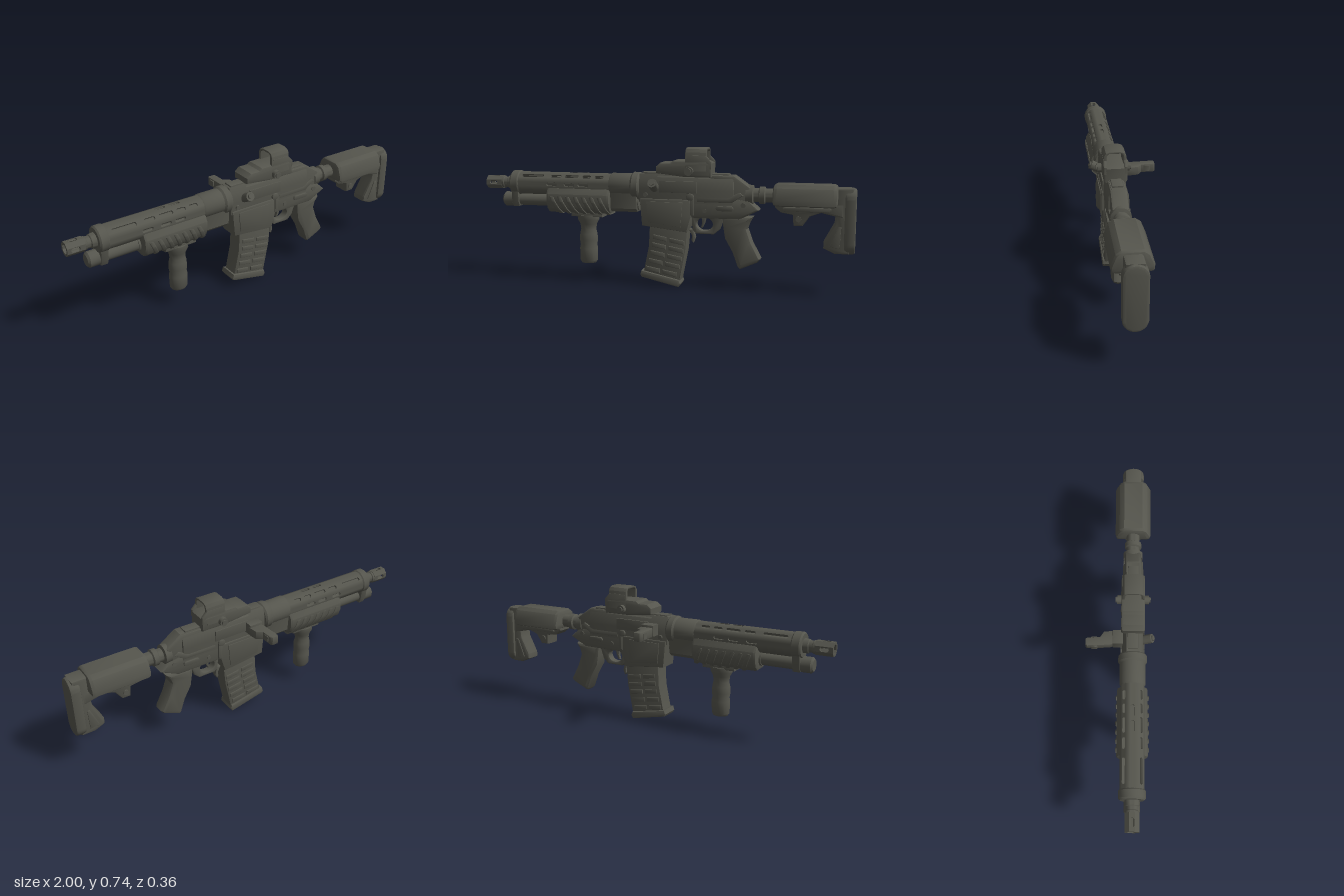
import * as THREE from 'three';
import { mergeGeometries, toCreasedNormals } from 'three/addons/utils/BufferGeometryUtils.js';

export function createModel() {
  const model = new THREE.Group();
  model.name = 'rifle';
  const body = new THREE.Group();
  body.name = 'rifleBody';
  body.position.z = 0.07;
  model.add(body);
  const gunmetal = new THREE.MeshStandardMaterial({ color: 0x55554d });
  gunmetal.name = 'gunmetal';

  const add = (name, geo) => {
    const m = new THREE.Mesh(toCreasedNormals(geo, 0.6), gunmetal);
    m.name = name;
    body.add(m);
    return m;
  };
  const poly = (pts) => new THREE.Shape(pts.map(([x, y]) => new THREE.Vector2(x, y)));
  const extrude = (shape, depth, bevel) => new THREE.ExtrudeGeometry(shape, {
    depth: depth - 2 * bevel, bevelEnabled: bevel > 0, bevelSize: bevel, bevelThickness: bevel,
    bevelOffset: -bevel, bevelSegments: 2, curveSegments: 10,
  }).translate(0, 0, bevel - depth / 2);
  // side outline (x, y) extruded across z
  const side = (name, pts, half, bevel = 0.01, z = 0) =>
    add(name, extrude(Array.isArray(pts) ? poly(pts) : pts, half * 2, bevel).translate(0, 0, z));
  // cross-section (z, y) extruded along x
  const alongGeo = (shape, x0, x1, bevel = 0.01) =>
    extrude(shape, x1 - x0, bevel).rotateY(Math.PI / 2).translate((x0 + x1) / 2, 0, 0);
  // right half of a symmetric section, mirrored
  const mirror = (half) => poly([...half, ...half.map(([z, y]) => [-z, y]).reverse()]);
  // turned part along x from [x, radius] points
  const turned = (name, pts, y) => add(name, new THREE.LatheGeometry(
    pts.map(([x, r]) => new THREE.Vector2(r, x)), 24).rotateZ(-Math.PI / 2).translate(0, y, 0));
  const box = (name, x0, x1, y0, y1, half, z = 0) =>
    side(name, [[x0, y0], [x1, y0], [x1, y1], [x0, y1]], half, Math.min(0.005, half * 0.4), z);
  const pin = (name, x, y, r, half) => add(name,
    new THREE.CylinderGeometry(r, r, half * 2, 16).rotateX(Math.PI / 2).translate(x, y, 0));
  // rounded slot of height h between x0 and x1
  const slot = (x0, x1, h, y = 0, P = THREE.Path) => {
    const r = h / 2, p = new P();
    p.moveTo(x0 + r, y - r);
    p.lineTo(x1 - r, y - r);
    p.absarc(x1 - r, y, r, -Math.PI / 2, Math.PI / 2, false);
    p.lineTo(x0 + r, y + r);
    p.absarc(x0 + r, y, r, Math.PI / 2, Math.PI * 1.5, false);
    return p;
  };
  // hollow faceted tube whose flats can carry slots
  const facetTube = (name, n, r, wall, x0, x1, y, slotsAt) => {
    const t = r * Math.tan(Math.PI / n), parts = [];
    for (let k = 0; k < n; k++) {
      const s = poly([[x0, -t], [x1, -t], [x1, t], [x0, t]]);
      (slotsAt[k] || []).forEach(([a, b]) => s.holes.push(slot(a, b, t * 1.6)));
      parts.push(extrude(s, wall, 0).translate(0, 0, r - wall / 2).rotateX(-k * 2 * Math.PI / n));
    }
    add(name, mergeGeometries(parts).translate(0, y, 0));
  };

  // Barrel, muzzle and slotted handguard
  turned('barrel', [[-0.92, 0], [-0.92, 0.03], [-0.12, 0.03], [-0.12, 0]], 0.53);
  const vent = [[-0.98, -0.935]];
  facetTube('muzzleBrake', 8, 0.035, 0.012, -1, -0.91, 0.53, { 0: vent, 2: vent, 4: vent });
  turned('muzzleCollar', [[-0.925, 0], [-0.925, 0.034], [-0.9, 0.034], [-0.895, 0.028], [-0.88, 0.028],
    [-0.875, 0.035], [-0.84, 0.038], [-0.84, 0]], 0.53);
  const upperRow = [[-0.78, -0.65], [-0.61, -0.55], [-0.53, -0.45], [-0.43, -0.38], [-0.36, -0.31]];
  const sideRow = [[-0.63, -0.57], [-0.53, -0.47], [-0.45, -0.39]];
  facetTube('handguard', 16, 0.061, 0.01, -0.84, -0.13, 0.53,
    { 0: sideRow, 2: upperRow, 4: sideRow.slice(1), 6: upperRow, 8: sideRow });
  turned('handguardFrontRing', [[-0.85, 0.025], [-0.85, 0.06], [-0.842, 0.067], [-0.805, 0.067], [-0.798, 0.061]], 0.53);
  turned('handguardRearCollar', [[-0.28, 0.06], [-0.27, 0.066], [-0.16, 0.066], [-0.15, 0.074],
    [-0.12, 0.074], [-0.11, 0.066], [-0.11, 0]], 0.53);

  // Lower tube with cap and bracket
  turned('lowerTube', [[-0.905, 0], [-0.905, 0.03], [-0.895, 0.04], [-0.845, 0.04], [-0.835, 0.033],
    [-0.64, 0.033], [-0.64, 0.038], [-0.12, 0.038], [-0.12, 0]], 0.437);
  add('tubeBracket', alongGeo(mirror([[0.03, 0.4], [0.044, 0.43], [0.05, 0.5]]), -0.845, -0.805, 0.005));
  add('rearTubeBlock', alongGeo(mirror([[0.03, 0.392], [0.048, 0.41], [0.055, 0.5]]), -0.28, -0.125, 0.006));

  // Ribbed forend
  const forend = [[0.04, 0.378], [0.066, 0.4], [0.08, 0.44], [0.078, 0.48], [0.06, 0.51]];
  add('forend', alongGeo(mirror(forend), -0.63, -0.27, 0.014));
  for (let i = 0; i < 7; i++) {
    const g = alongGeo(mirror([[0.042, 0.372], [0.071, 0.396], [0.086, 0.44], [0.083, 0.468]]), -0.012, 0.012, 0.005);
    const p = g.attributes.position;
    for (let j = 0; j < p.count; j++) p.setX(j, p.getX(j) - (p.getY(j) - 0.42) * 0.45);
    add('forendRib', g.translate(-0.575 + i * 0.045, 0, 0));
  }

  // Vertical foregrip
  box('gripRail', -0.5, -0.32, 0.357, 0.385, 0.04);
  const grip = [[0, 0.1], [0.04, 0.1], [0.048, 0.112], [0.05, 0.18], [0.046, 0.2], [0.05, 0.225], [0.048, 0.26],
    [0.042, 0.285], [0.046, 0.315], [0.06, 0.34], [0.06, 0.365], [0, 0.365]];
  add('foregrip', new THREE.LatheGeometry(grip.map(([r, y]) => new THREE.Vector2(r, y)), 20)
    .scale(1, 1, 0.85).translate(-0.413, 0, 0));

  // Receiver
  add('upperReceiver', alongGeo(mirror([[0.05, 0.45], [0.055, 0.52], [0.05, 0.57], [0.033, 0.6]]), -0.115, 0.39, 0.008));
  side('rearReceiver', [[0.25, 0.43], [0.47, 0.43], [0.475, 0.54], [0.39, 0.6], [0.25, 0.6]], 0.043, 0.014);
  side('lowerReceiver', [[-0.1, 0.5], [-0.1, 0.4], [0.17, 0.375], [0.42, 0.375], [0.52, 0.425], [0.47, 0.47], [0.3, 0.5]], 0.047);
  side('magazineWell', [[-0.108, 0.47], [-0.095, 0.325], [0.147, 0.298], [0.17, 0.38], [0.165, 0.47]], 0.058, 0.008);
  box('topRail', -0.1, 0.36, 0.585, 0.607, 0.028);
  for (const s of [1, -1]) {
    side('wellPanel', [[-0.07, 0.455], [-0.06, 0.345], [0.115, 0.325], [0.125, 0.455]], 0.003, 0.001, s * 0.06);
    box('receiverPlate', 0, 0.2, 0.505, 0.565, 0.005, s * 0.055);
    side('selectorLever', slot(0.3, 0.39, 0.025, 0.43, THREE.Shape), 0.006, 0.002, s * 0.051);
    side('receiverRidge', [[0.2, 0.46], [0.38, 0.46], [0.44, 0.5], [0.42, 0.515], [0.36, 0.485], [0.2, 0.485]], 0.006, 0.003, s * 0.047);
    side('boltCatch', slot(0.145, 0.185, 0.035, 0.485, THREE.Shape), 0.008, 0.003, s * 0.056);
    side('catchStem', [[0.165, 0.39], [0.185, 0.39], [0.185, 0.49], [0.165, 0.49]], 0.006, 0.002, s * 0.056);
  }
  pin('frontPin', -0.075, 0.49, 0.012, 0.062);
  pin('rearPin', 0.44, 0.45, 0.013, 0.052);
  pin('triggerPin', 0.24, 0.415, 0.011, 0.052);

  // Tilted side knob and opposite charging handle
  [['sideKnob', 0.024, 0.09, 0.04], ['sideKnobCap', 0.014, 0.1, 0.043]].forEach(([name, r, l, z]) => {
    const knob = add(name, new THREE.CylinderGeometry(r, r, l, 20).rotateX(Math.PI / 2).translate(0, 0, z));
    knob.position.set(-0.028, 0.517, 0.025);
    knob.rotation.x = -0.5;
  });
  const handle = poly([[-0.035, 0.04], [0.01, 0.04], [0.018, 0.1], [0.012, 0.15], [-0.018, 0.17], [-0.02, 0.235],
    [-0.028, 0.245], [-0.06, 0.245], [-0.067, 0.235], [-0.062, 0.12]]);
  add('chargingHandle', extrude(handle, 0.048, 0.006).rotateX(-Math.PI / 2).translate(0, 0.523, 0));
  box('handleRoot', -0.06, 0.015, 0.5, 0.56, 0.03, -0.075);
  box('handlePad', -0.071, -0.015, 0.508, 0.54, 0.018, -0.2);

  // Trigger guard, trigger and release
  const guard = poly([[0.165, 0.39], [0.17, 0.31], [0.19, 0.288], [0.285, 0.288], [0.315, 0.315], [0.34, 0.39]]);
  const hole = new THREE.Path();
  hole.absellipse(0.235, 0.34, 0.044, 0.035, 0, Math.PI * 2, true);
  guard.holes.push(hole);
  side('triggerGuard', guard, 0.022, 0.006);
  side('trigger', [[0.215, 0.385], [0.245, 0.385], [0.235, 0.345], [0.222, 0.318], [0.213, 0.32], [0.22, 0.345]], 0.009, 0.003);
  side('magazineRelease', [[0.15, 0.31], [0.175, 0.31], [0.185, 0.265], [0.175, 0.238], [0.165, 0.25], [0.168, 0.275]], 0.018, 0.004);

  // Pistol grip
  side('pistolGrip', [[0.33, 0.39], [0.49, 0.39], [0.47, 0.355], [0.46, 0.325], [0.485, 0.255], [0.53, 0.17], [0.515, 0.152],
    [0.425, 0.112], [0.412, 0.125], [0.385, 0.2], [0.345, 0.27], [0.335, 0.33]], 0.045, 0.022);

  // Magazine with ribs and floor plate
  side('magazine', [[-0.055, 0.34], [0.15, 0.32], [0.14, 0.2], [0.108, 0.035], [-0.09, 0.075], [-0.062, 0.21]], 0.045, 0.008);
  for (let i = 0; i < 5; i++) {
    const y = 0.282 - i * 0.043, x = -0.052 - i * i * 0.0016 - i * 0.003;
    for (const [a, b] of [[0.015, 0.09], [0.105, 0.185]]) {
      side('magazineRib', [[x + a, y - a * 0.17], [x + b, y - b * 0.17], [x + b, y - b * 0.17 - 0.024], [x + a, y - a * 0.17 - 0.024]], 0.05, 0.004);
    }
  }
  side('magazineFloor', [[-0.1, 0.083], [0.106, 0.04], [0.113, 0.02], [0.102, 0.001], [-0.1, 0.046], [-0.108, 0.06]], 0.056, 0.009);

  // Optical sight
  add('sightMount', alongGeo(mirror([[0.045, 0.583], [0.03, 0.6], [0.05, 0.618]]), -0.015, 0.27, 0.004));
  side('sightBase', [[-0.02, 0.605], [-0.02, 0.638], [0.005, 0.66], [0.06, 0.66], [0.075, 0.672], [0.14, 0.672],
    [0.25, 0.672], [0.275, 0.66], [0.275, 0.588], [0.13, 0.588]], 0.06, 0.012);
  const hood = mirror([[0.062, 0.62], [0.056, 0.715], [0.045, 0.732], [0.025, 0.739]]);
  hood.holes.push(mirror([[0.042, 0.667], [0.04, 0.718], [0.03, 0.728]]));
  add('sightHood', alongGeo(hood, 0.138, 0.25, 0.003));
  for (const s of [1, -1]) {
    side('hoodCheek', [[0.13, 0.64], [0.15, 0.7], [0.245, 0.7], [0.275, 0.668], [0.275, 0.63]], 0.008, 0.003, s * 0.051);
  }
  pin('sightKnobs', 0.16, 0.62, 0.023, 0.082);
  pin('sightKnobCaps', 0.16, 0.62, 0.015, 0.09);

  // Stock tube
  turned('stockTube', [[0.45, 0], [0.45, 0.052], [0.485, 0.052], [0.49, 0.036], [0.515, 0.036], [0.52, 0.045],
    [0.545, 0.045], [0.55, 0.036], [0.94, 0.036], [0.94, 0]], 0.5);

  // Shoulder stock
  add('cheekRest', alongGeo(mirror([[0.078, 0.455], [0.095, 0.462], [0.097, 0.49], [0.075, 0.545], [0.05, 0.563]]), 0.59, 0.91, 0.02));
  side('stockFrame', [[0.6, 0.47], [0.6, 0.445], [0.63, 0.42], [0.69, 0.41], [0.695, 0.355], [0.74, 0.355], [0.775, 0.405],
    [0.83, 0.425], [0.94, 0.4], [0.94, 0.47]], 0.048, 0.01);
  side('buttStrut', [[0.89, 0.55], [0.9, 0.42], [0.895, 0.37], [0.845, 0.275], [0.845, 0.245], [0.9, 0.22], [0.97, 0.22], [0.985, 0.55]], 0.045, 0.012);
  add('buttPad', alongGeo(slot(0.215, 0.55, 0.118, 0, THREE.Shape), 0.945, 1, 0.012).rotateX(Math.PI / 2));
  for (const s of [1, -1]) {
    side('stockRail', slot(0.64, 0.88, 0.022, 0.44, THREE.Shape), 0.007, 0.003, s * 0.05);
    side('strutPanel', [[0.875, 0.255], [0.925, 0.25], [0.93, 0.36], [0.915, 0.36]], 0.005, 0.002, s * 0.045);
  }
  pin('stockPin', 0.72, 0.39, 0.014, 0.055);

  return model;
}
